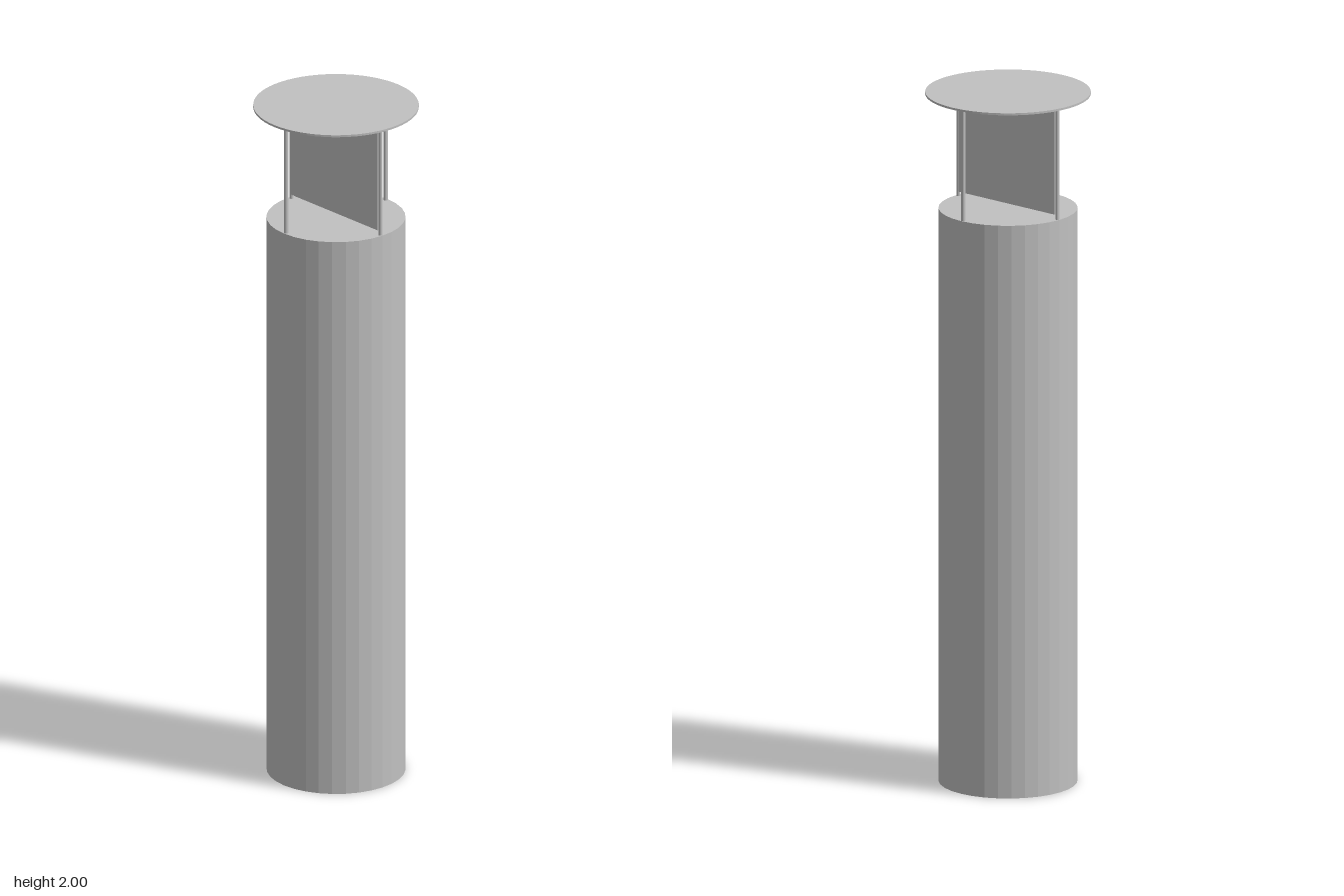
import * as THREE from 'three';

export function createModel() {
  const group = new THREE.Group();
  const grey = new THREE.MeshStandardMaterial({ color: 0xc0c0c0 });
  grey.name = 'metal grey';
  grey.flatShading = true;

  const add = (name, geometry, x, y, z) => {
    const mesh = new THREE.Mesh(geometry, grey);
    mesh.name = name;
    mesh.position.set(x, y, z);
    group.add(mesh);
  };

  // Round column, standing on the ground
  const bodyTop = 1.663, radius = 0.195;
  add('column', new THREE.CylinderGeometry(radius, radius, bodyTop, 32), 0, bodyTop / 2, 0);

  // Thin overhanging lid
  const lidHeight = 0.006, lidBottom = 2 - lidHeight;
  add('lid', new THREE.CylinderGeometry(0.232, 0.232, lidHeight, 64), 0, 2 - lidHeight / 2, 0);

  // Four slim rods that carry the lid
  const rodHeight = lidBottom - bodyTop;
  const rod = new THREE.CylinderGeometry(0.006, 0.006, rodHeight, 12);
  for (let i = 0; i < 4; i++) {
    const a = i * Math.PI / 2;
    add('rod', rod, Math.cos(a) * 0.187, bodyTop + rodHeight / 2, Math.sin(a) * 0.187);
  }

  // Upright panel between the left and right rods, hung clear of the column
  const panelBottom = 1.677, panelTop = 1.99;
  add('panel', new THREE.BoxGeometry(0.362, panelTop - panelBottom, 0.014),
    0, (panelTop + panelBottom) / 2, 0);

  return group;
}
